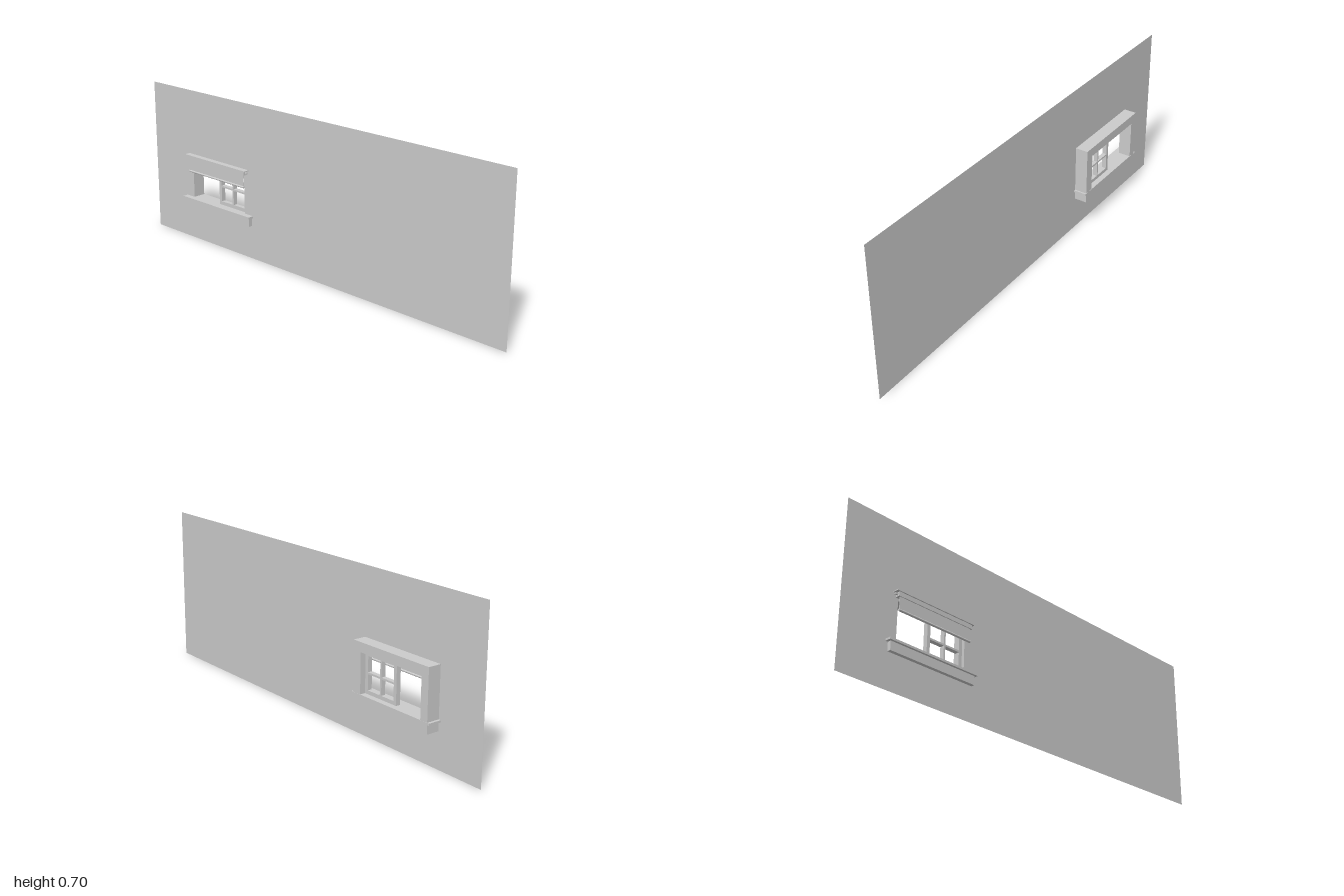
import * as THREE from 'three';

const material = new THREE.MeshStandardMaterial({ color: 0xcccccc, side: THREE.DoubleSide });

// Rectangle outline from its edges, as a Shape or a hole Path
function rect(target, x0, x1, y0, y1) {
  target.moveTo(x0, y0);
  target.lineTo(x1, y0);
  target.lineTo(x1, y1);
  target.lineTo(x0, y1);
  target.closePath();
  return target;
}

function add(group, name, geometry) {
  const mesh = new THREE.Mesh(geometry, material);
  mesh.name = name;
  group.add(mesh);
  return mesh;
}

// Box given by its limits on each axis
function box(group, name, [x0, x1], [y0, y1], [z0, z1]) {
  const mesh = add(group, name, new THREE.BoxGeometry(x1 - x0, y1 - y0, z1 - z0));
  mesh.position.set((x0 + x1) / 2, (y0 + y1) / 2, (z0 + z1) / 2);
  return mesh;
}

// Flat panel with rectangular openings, extruded from z0 to z1
function panel(group, name, outer, holes, [z0, z1]) {
  const shape = rect(new THREE.Shape(), ...outer);
  for (const hole of holes) shape.holes.push(rect(new THREE.Path(), ...hole));
  const geometry = new THREE.ExtrudeGeometry(shape, { depth: z1 - z0, bevelEnabled: false });
  geometry.translate(0, 0, z0);
  return add(group, name, geometry);
}

export function createModel() {
  const model = new THREE.Group();
  model.name = 'windowWall';
  const wallZ = 0.017, backZ = -0.041;

  // Thin wall sheet, cut out around the window frame
  const wallShape = rect(new THREE.Shape(), -1, 1, 0, 0.7);
  wallShape.holes.push(rect(new THREE.Path(), -0.775, -0.353, 0.152, 0.412));
  const wall = add(model, 'wall', new THREE.ShapeGeometry(wallShape));
  wall.position.z = wallZ;

  // Deep frame, flush with the wall in front and projecting behind it
  const frame = new THREE.Group();
  frame.name = 'windowFrame';
  model.add(frame);
  box(frame, 'rightJamb', [-0.775, -0.738], [0.198, 0.412], [backZ, wallZ]);
  box(frame, 'leftJamb', [-0.396, -0.353], [0.198, 0.412], [backZ, wallZ]);
  box(frame, 'head', [-0.738, -0.396], [0.371, 0.412], [backZ, wallZ]);
  box(frame, 'sill', [-0.786, -0.345], [0.19, 0.199], [backZ - 0.001, 0.043]);
  box(frame, 'apron', [-0.775, -0.353], [0.152, 0.19], [backZ, 0.033]);

  // Sliding sash with four panes, filling the left half of the opening
  const panes = [];
  for (const [x0, x1] of [[-0.562, -0.491], [-0.483, -0.412]])
    for (const [y0, y1] of [[0.215, 0.281], [0.289, 0.355]]) panes.push([x0, x1, y0, y1]);
  panel(model, 'sash', [-0.577, -0.396, 0.199, 0.371], panes, [-0.016, 0.004]);

  // Roller blind hung in front of the head
  const blind = new THREE.Group();
  blind.name = 'rollerBlind';
  model.add(blind);
  box(blind, 'blindCassette', [-0.75, -0.378], [0.382, 0.4], [wallZ, 0.038]);
  box(blind, 'cassetteCap', [-0.762, -0.368], [0.4, 0.404], [wallZ, 0.043]);
  for (const [x0, x1] of [[-0.762, -0.75], [-0.378, -0.368]])
    box(blind, 'rollerPin', [x0, x1], [0.388, 0.395], [0.024, 0.03]);
  box(blind, 'blindFabric', [-0.743, -0.385], [0.327, 0.382], [0.031, 0.034]);
  const bar = add(blind, 'bottomBar', new THREE.CylinderGeometry(0.005, 0.005, 0.362, 16));
  bar.rotation.z = Math.PI / 2;
  bar.position.set(-0.564, 0.327, 0.0325);

  return model;
}
